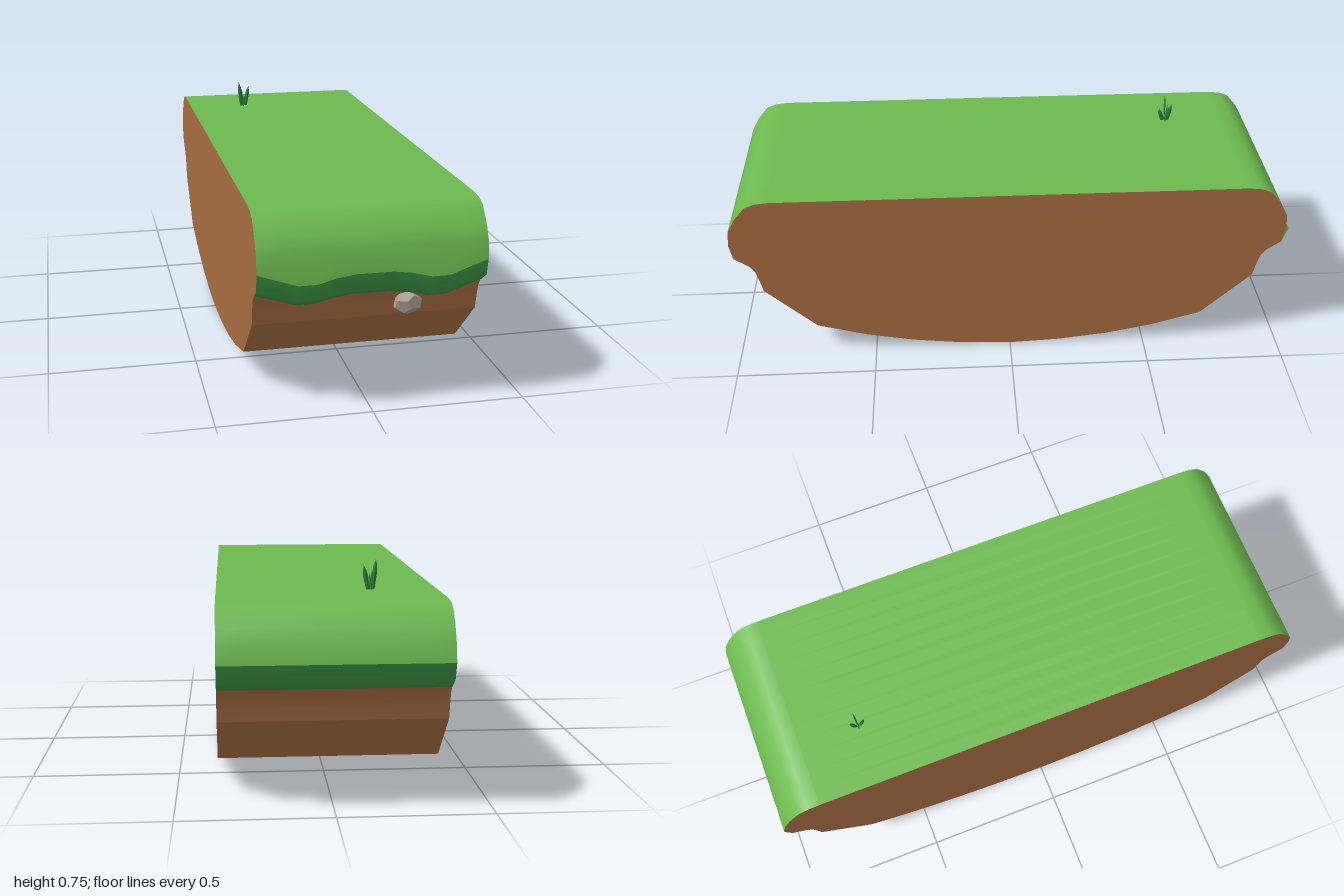
import * as THREE from 'three';

const HALF = 0.365;
const XS = [-HALF, -0.3, -0.24, -0.18, -0.12, -0.06, 0, 0.06, 0.12, 0.18, 0.24, 0.3, HALF];
// how far the grass overhang droops at each x, from the middle outwards
const DROOP = [0.017, 0.017, 0.025, 0.04, 0.04, 0.02, 0];

// half profiles as [z, y]
const crown = [[0.84, 0.655], [0.885, 0.65], [0.92, 0.636], [0.96, 0.588], [0.987, 0.537]];
const lipEdge = [[1, 0.48], [0.98, 0.424], [0.93, 0.39]];
const upperSoil = [[0.93, 0.392], [0.911, 0.365], [0.9, 0.325], [0.89, 0.28]];
const lowerSoil = [[0.89, 0.28], [0.71, 0.113]];
const belly = [[0.71, 0.113], [0.53, 0.062], [0.36, 0.029], [0.18, 0.008], [0, 0]];

// the same half profile at the back, walked upwards
const toBack = (pts) => pts.map(([z, y]) => [-z, y]).reverse();

function material(color, extra = {}) {
  return new THREE.MeshStandardMaterial({ color, ...extra });
}

// surface swept along x; profileAt(droop) gives the [z, y] points
function sweep(name, mat, profileAt) {
  const pos = [], index = [], n = XS.length;
  const columns = XS.map((x, i) => profileAt(DROOP[Math.abs(i - 6)]));
  for (let r = 0; r < columns[0].length; r++) {
    XS.forEach((x, c) => pos.push(x, columns[c][r][1], columns[c][r][0]));
  }
  for (let r = 0; r < columns[0].length - 1; r++) {
    for (let c = 0; c < n - 1; c++) {
      const a = r * n + c, b = a + 1, d = a + n, e = d + 1;
      index.push(a, d, b, b, d, e);
    }
  }
  const geo = new THREE.BufferGeometry();
  geo.setAttribute('position', new THREE.Float32BufferAttribute(pos, 3));
  geo.setIndex(index);
  geo.computeVertexNormals();
  const mesh = new THREE.Mesh(geo, mat);
  mesh.name = name;
  return mesh;
}

export function createModel() {
  const model = new THREE.Group();
  model.name = 'grassPlatform';
  const grass = material(0x6cb84e);
  const lip = material(0x3c9445, { side: THREE.DoubleSide });
  const soil = material(0xa56c41);

  // grass: rounded back, flat top, rounded front with a wavy lower border
  model.add(sweep('grassTop', grass, (d) => [
    [-1, 0.48], ...toBack(crown), ...crown, [0.992 + 0.2 * d, 0.48 - d],
  ]));

  // dark overhang: wavy at the front, straight at the back
  model.add(sweep('frontOverhang', lip, (d) => [
    [0.992 + 0.2 * d, 0.48 - d],
    [0.98 + 0.3 * d, 0.424 - 0.9 * d],
    [0.935 + 0.5 * d, 0.394 - 0.8 * d],
    [0.905, 0.394 - 0.75 * d],
  ]));
  model.add(sweep('backOverhang', lip, () => toBack(lipEdge)));

  // soil bands, creased where they meet
  const bands = { upperSoil, lowerSoil };
  for (const [name, pts] of Object.entries(bands)) {
    model.add(sweep(name + 'Front', soil, () => pts));
    model.add(sweep(name + 'Back', soil, () => toBack(pts)));
  }
  model.add(sweep('soilBottom', soil, () => [...belly, ...toBack(belly).slice(1)]));

  // flat cut ends
  const half = [...crown, [0.992, 0.48], ...lipEdge.slice(1), ...upperSoil.slice(1), ...belly];
  const outline = [...half, ...toBack(half).slice(1)];
  for (const side of [1, -1]) {
    const shape = new THREE.Shape(outline.map(([z, y]) => new THREE.Vector2(-side * z, y)));
    const geo = new THREE.ShapeGeometry(shape);
    geo.rotateY(side * Math.PI / 2);
    geo.translate(side * HALF, 0, 0);
    const end = new THREE.Mesh(geo, soil);
    end.name = side > 0 ? 'leftEnd' : 'rightEnd';
    model.add(end);
  }

  // stone tucked under the overhang
  const stoneGeo = new THREE.DodecahedronGeometry(1);
  stoneGeo.rotateZ(0.35).scale(0.05, 0.039, 0.026);
  const stone = new THREE.Mesh(stoneGeo, material(0xa59a90, { flatShading: true }));
  stone.name = 'stone';
  stone.position.set(0.13, 0.326, 0.917);
  model.add(stone);

  // grass tuft: leaning blades, [lean x, height, lean z]
  const tuft = new THREE.Group();
  tuft.name = 'grassTuft';
  tuft.position.set(-0.145, 0.65, -0.625);
  const bladeMat = material(0x2f7d38, { flatShading: true, side: THREE.DoubleSide });
  const blades = [[-0.017, 0.105, 0.002], [0.024, 0.086, -0.002], [-0.001, 0.07, -0.022], [0.001, 0.055, 0.024]];
  for (const [lx, h, lz] of blades) {
    const profile = [[0.006, 0], [0.0085, 0.55], [0.006, 0.8], [0, 1]].map(([r, t]) => new THREE.Vector2(r, t * h));
    const geo = new THREE.LatheGeometry(profile, 4);
    const p = geo.attributes.position;
    const along = Math.abs(lx) > Math.abs(lz);
    for (let i = 0; i < p.count; i++) {
      const t = p.getY(i) / h;
      // flatten across the lean, then shear towards the tip
      p.setX(i, p.getX(i) * (along ? 1 : 0.4) + lx * (0.35 + 0.65 * t));
      p.setZ(i, p.getZ(i) * (along ? 0.4 : 1) + lz * (0.35 + 0.65 * t));
    }
    geo.computeVertexNormals();
    const blade = new THREE.Mesh(geo, bladeMat);
    blade.name = 'blade';
    tuft.add(blade);
  }
  model.add(tuft);
  return model;
}
